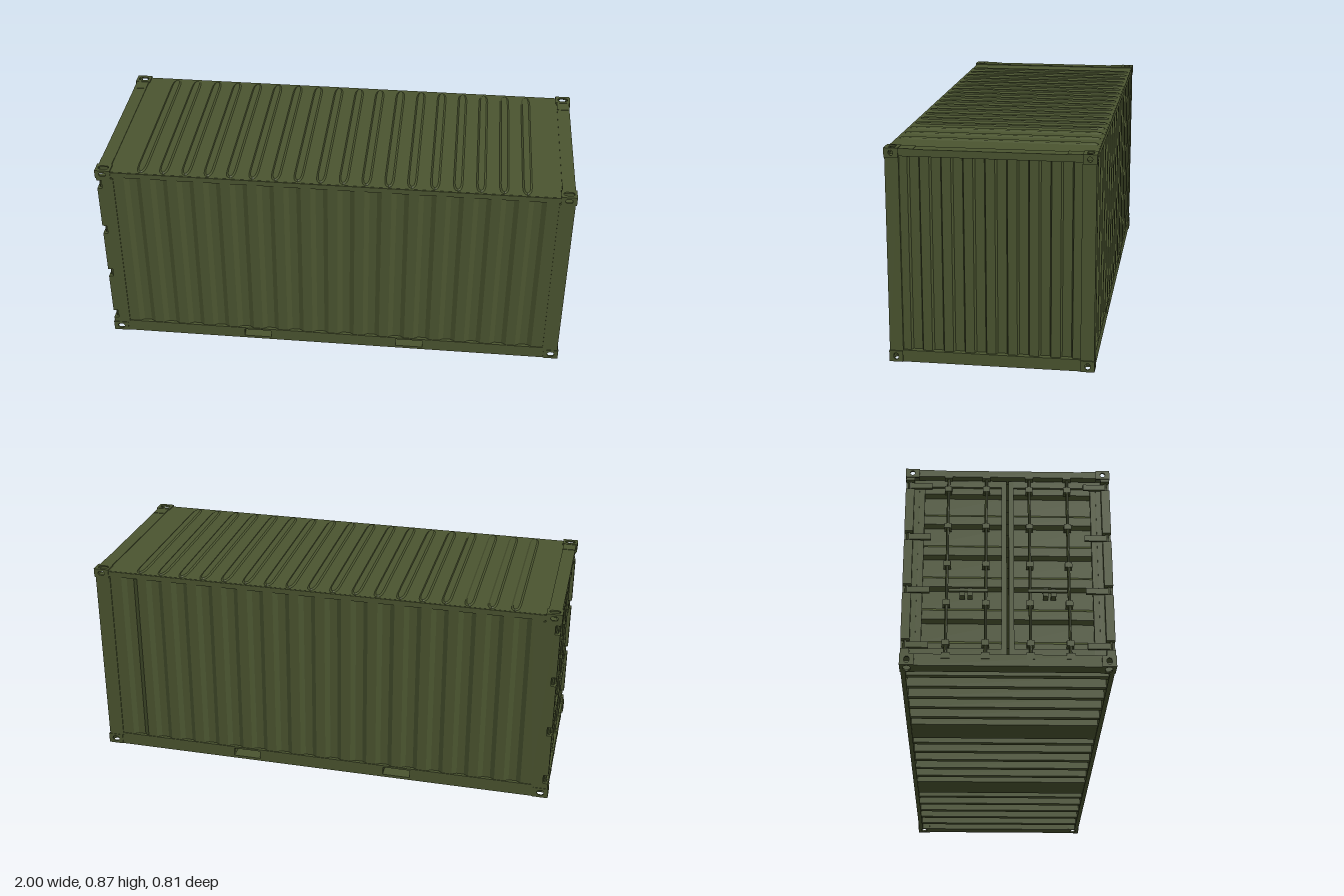
import * as THREE from 'three';

const paint = new THREE.MeshStandardMaterial({ color: 0x4b5530, flatShading: true });

// Rounded slot outline, w x h, usable as a shape or a hole
function slot(path, cx, cy, w, h) {
  const r = Math.min(w, h) / 2, a = w / 2 - r, b = h / 2 - r;
  path.absarc(cx + a, cy + b, r, 0, Math.PI / 2);
  path.absarc(cx - a, cy + b, r, Math.PI / 2, Math.PI);
  path.absarc(cx - a, cy - b, r, Math.PI, Math.PI * 1.5);
  path.absarc(cx + a, cy - b, r, Math.PI * 1.5, Math.PI * 2);
  path.closePath();
  return path;
}

function rect(path, x0, x1, y0, y1) {
  path.moveTo(x0, y0).lineTo(x1, y0).lineTo(x1, y1).lineTo(x0, y1).closePath();
  return path;
}

// Trapezoid sheet: profile along x, outward +y, centred extrusion along z
function corrugated(length, n, period, inner, slope, depth, height) {
  const pts = [[-length / 2, 0]];
  for (let i = 0; i < n; i++) {
    const c = (i - (n - 1) / 2) * period, h = inner / 2;
    pts.push([c - h - slope, 0], [c - h, -depth], [c + h, -depth], [c + h + slope, 0]);
  }
  pts.push([length / 2, 0]);
  const back = pts.map(([x, y]) => [x, y - 0.003]).reverse();
  const shape = new THREE.Shape([...pts, ...back].map(([x, y]) => new THREE.Vector2(x, y)));
  const geo = new THREE.ExtrudeGeometry(shape, { depth: height, bevelEnabled: false });
  return geo.translate(0, 0, -height / 2);
}

// Thin plate with a slot hole, centred on the origin
function slottedPlate(w, h, t, hw, hh) {
  const s = rect(new THREE.Shape(), -w / 2, w / 2, -h / 2, h / 2);
  s.holes.push(slot(new THREE.Path(), 0, 0, hw, hh));
  return new THREE.ExtrudeGeometry(s, { depth: t, bevelEnabled: false, curveSegments: 5 }).translate(0, 0, -t / 2);
}

export function createModel() {
  const model = new THREE.Group();
  model.name = 'cargoContainer';

  const add = (name, geo, x = 0, y = 0, z = 0) => {
    const m = new THREE.Mesh(geo, paint);
    m.name = name;
    m.position.set(x, y, z);
    model.add(m);
    return m;
  };
  // Box from its limits on each axis
  const box = (name, x0, x1, y0, y1, z0, z1) => add(name,
    new THREE.BoxGeometry(Math.abs(x1 - x0), y1 - y0, Math.abs(z1 - z0)),
    (x0 + x1) / 2, (y0 + y1) / 2, (z0 + z1) / 2);

  // Corner castings: slotted plates on the outer faces
  for (const sx of [-1, 1]) for (const sz of [-1, 1]) for (const top of [false, true]) {
    const y0 = top ? 0.827 : 0, y1 = top ? 0.865 : 0.045, h = y1 - y0, yc = (y0 + y1) / 2;
    const hh = top ? 0.02 : 0.027, t = 0.008;
    add('cornerCastingEnd', slottedPlate(0.055, h, t, 0.019, hh).rotateY(Math.PI / 2), sx * 0.996, yc, sz * 0.3785);
    add('cornerCastingSide', slottedPlate(0.065, h, t, 0.03, hh - 0.002), sx * 0.9675, yc, sz * 0.402);
    add('cornerCastingCap', slottedPlate(0.065, 0.055, 0.006, 0.045, 0.026).rotateX(Math.PI / 2),
      sx * 0.9675, top ? 0.862 : 0.003, sz * 0.3785);
    if (!top) box('cornerCastingInner', sx * 0.935, sx * 0.94, y0, y1, sz * 0.35, sz * 0.4);
  }

  // Side walls, rails and pockets
  for (const sz of [-1, 1]) {
    const wall = corrugated(1.86, 16, 0.1125, 0.032, 0.02, 0.012, 0.79).rotateX(-Math.PI / 2);
    if (sz > 0) wall.rotateY(Math.PI);
    add('sideWall', wall, 0, 0.445, sz * 0.4);
    box('topSideRail', -0.94, 0.94, 0.834, 0.857, sz * 0.392, sz * 0.404);

    const rail = rect(new THREE.Shape(), -0.94, 0.94, 0, 0.056);
    for (const s of [-1, 1]) rail.holes.push(rect(new THREE.Path(), s * 0.34 - 0.06, s * 0.34 + 0.06, 0.012, 0.048));
    add('bottomSideRail', new THREE.ExtrudeGeometry(rail, { depth: 0.018, bevelEnabled: false }), 0, 0, sz * 0.394 - 0.009);

    // Plain end post, and door post with gaps for the hinges
    box('frontPost', 0.93, 0.995, 0.045, 0.827, sz * 0.35, sz * 0.404);
    box('doorPost', -0.975, -0.925, 0.045, 0.827, sz * 0.35, sz * 0.404);
    const hinges = [0.09, 0.325, 0.56, 0.795];
    let y = 0.045;
    for (const hy of [...hinges, 0.847]) {
      box('doorPostLip', -0.996, -0.975, y, hy - 0.02, sz * 0.37, sz * 0.404);
      y = hy + 0.02;
    }
    for (const hy of hinges) {
      add('hingePin', new THREE.CylinderGeometry(0.007, 0.007, 0.034, 8), -0.982, hy, sz * 0.388);
      box('hingeBlade', -0.988, -0.978, hy - 0.012, hy + 0.012, sz * 0.3, sz * 0.388);
    }
  }

  // Corrugated closed end
  add('endWall', corrugated(0.7, 8, 0.0842, 0.036, 0.006, 0.014, 0.79)
    .rotateX(-Math.PI / 2).rotateY(-Math.PI / 2), 0.985, 0.44, 0);

  // End rails at both ends
  for (const s of [-1, 1]) {
    box('bottomEndRail', s * 0.94, s * 0.995, 0, 0.048, -0.352, 0.352);
    box('topEndRail', s * 0.94, s * 0.995, 0.833, 0.861, -0.352, 0.352);
    for (const sz of [-1, 1]) box('headerGusset', s * 0.94, s * 0.995, 0.861, 0.863, sz * 0.293, sz * 0.352);
  }

  // Roof sheet with raised ribs
  box('roof', -0.945, 0.945, 0.8555, 0.858, -0.4, 0.4);
  for (let i = 0; i < 18; i++) {
    const s = new THREE.Shape();
    s.moveTo(-0.013, -0.33).quadraticCurveTo(-0.012, -0.383, 0, -0.385).quadraticCurveTo(0.012, -0.383, 0.013, -0.33);
    s.lineTo(0.013, 0.33).quadraticCurveTo(0.012, 0.383, 0, 0.385).quadraticCurveTo(-0.012, 0.383, -0.013, 0.33);
    const rib = new THREE.ExtrudeGeometry(s, {
      depth: 0.001, bevelThickness: 0.005, bevelSize: 0.007, bevelSegments: 1, curveSegments: 5 });
    add('roofRib', rib.rotateX(-Math.PI / 2), -0.808 + i * 0.0945, 0.857, 0);
  }

  // Floor, cross members and forklift pockets
  box('floor', -0.945, 0.945, 0.05, 0.056, -0.387, 0.387);
  for (const x of [0, 0.1, 0.2, 0.48, 0.58, 0.68, 0.78, 0.88])
    for (const s of x ? [-1, 1] : [1])
      box('crossMember', s * x - 0.012, s * x + 0.012, 0.008, 0.05, -0.386, 0.386);
  for (const s of [-1, 1]) {
    box('pocketBottom', s * 0.34 - 0.075, s * 0.34 + 0.075, 0.006, 0.011, -0.386, 0.386);
    for (const e of [-1, 1])
      box('pocketSide', s * 0.34 + e * 0.062, s * 0.34 + e * 0.075, 0.011, 0.05, -0.386, 0.386);
  }

  // Two door leaves with framed, ribbed panels
  for (const sz of [-1, 1]) {
    add('doorPanel', corrugated(0.72, 5, 0.14, 0.075, 0.014, 0.014, 0.31).rotateZ(Math.PI / 2), -0.962, 0.44, sz * 0.176);
    box('doorStile', -0.972, -0.952, 0.052, 0.829, sz * 0.004, sz * 0.024);
    box('doorStile', -0.972, -0.952, 0.052, 0.829, sz * 0.328, sz * 0.35);
    box('doorSill', -0.972, -0.952, 0.052, 0.082, sz * 0.024, sz * 0.328);
    box('doorHead', -0.972, -0.952, 0.799, 0.829, sz * 0.024, sz * 0.328);

    // Locking rods with cams, brackets and handles
    for (const rz of [0.085, 0.235]) {
      const z = sz * rz;
      add('lockRod', new THREE.CylinderGeometry(0.006, 0.006, 0.8, 8), -0.982, 0.44, z);
      for (const y of [0.042, 0.838]) box('lockCam', -0.998, -0.972, y - 0.013, y + 0.013, z - 0.016, z + 0.016);
      for (const y of [0.1, 0.27, 0.44, 0.61, 0.78])
        box('rodBracket', -0.99, -0.96, y - 0.011, y + 0.011, z - 0.014, z + 0.014);
      box('lockHandle', -0.994, -0.984, 0.315, 0.327, z - 0.008 * sz, z + 0.11 * sz * (rz > 0.2 ? -1 : 1));
      const hz = z + 0.09 * sz * (rz > 0.2 ? -1 : 1);
      box('handleCatch', -0.988, -0.955, 0.3, 0.335, hz - 0.01, hz + 0.01);
    }
  }
  return model;
}
